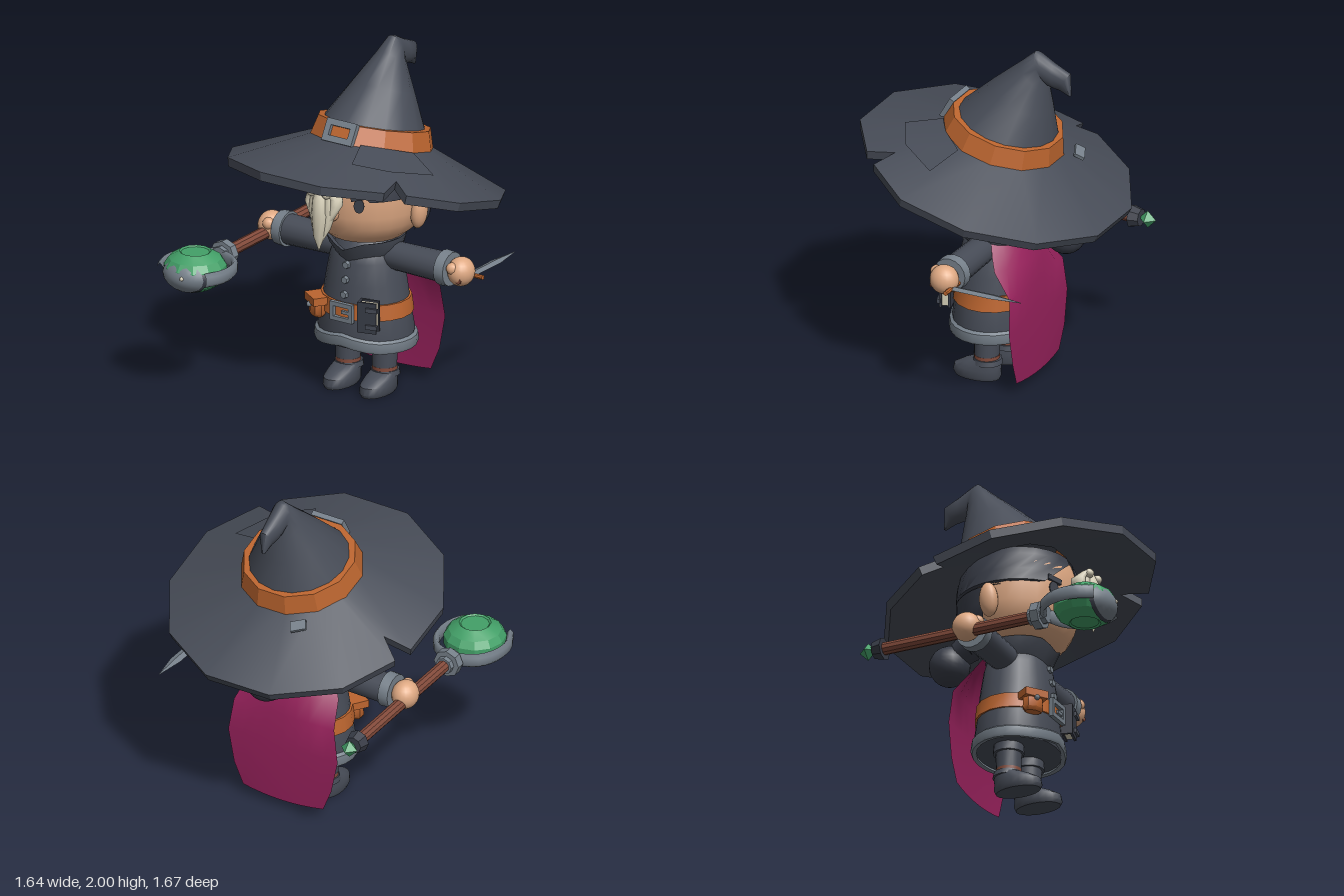
import * as THREE from 'three';
import { toCreasedNormals } from 'three/addons/utils/BufferGeometryUtils.js';

const mat = (name, color, side = THREE.FrontSide) =>
  Object.assign(new THREE.MeshStandardMaterial({ color, side }), { name });
const V = (x, y, z) => new THREE.Vector3(x, y, z);
const rad = THREE.MathUtils.degToRad;
const CX = 0.025, CZ = -0.09; // axis of the body

// Skin a list of point rings; closed rings may be capped at both ends
function loft(rings, { closed = true, caps = true, join = false, crease = 0.7 } = {}) {
  const n = rings[0].length, m = rings.length, pos = [], idx = [];
  rings.forEach(r => r.forEach(p => pos.push(p.x, p.y, p.z)));
  for (let i = 0; i < (join ? m : m - 1); i++)
    for (let j = 0; j < (closed ? n : n - 1); j++) {
      const k = (j + 1) % n, up = ((i + 1) % m) * n;
      idx.push(i * n + j, i * n + k, up + k, i * n + j, up + k, up + j);
    }
  if (closed && caps) [0, m - 1].forEach((i, end) => {
    const c = rings[i].reduce((s, p) => s.add(p), V(0, 0, 0)).divideScalar(n);
    const ci = pos.length / 3;
    pos.push(c.x, c.y, c.z);
    for (let j = 0; j < n; j++) {
      const a = i * n + j, b = i * n + (j + 1) % n;
      idx.push(ci, end ? a : b, end ? b : a);
    }
  });
  const g = new THREE.BufferGeometry();
  g.setAttribute('position', new THREE.Float32BufferAttribute(pos, 3));
  g.setIndex(idx);
  return toCreasedNormals(g, crease);
}

// Horizontal ellipses [y, rx, rz, x, z], listed from bottom to top
const ovals = (rows, n = 24) => rows.map(([y, rx, rz, x = 0, z = 0]) =>
  Array.from({ length: n }, (_, j) => {
    const t = j / n * Math.PI * 2;
    return V(x + rx * Math.sin(t), y, z + rz * Math.cos(t));
  }));

// Bend the front middle of a ring up or down
const peak = (rings, h, w) => {
  rings.flat().forEach(p => { if (p.z > 0) p.y += h * Math.max(0, 1 - Math.abs(p.x) / w); });
  return rings;
};

// Rectangular buckle frame
function frame(w, h, b, depth) {
  const rect = (S, x, y) => new S([[-x, -y], [x, -y], [x, y], [-x, y]].map(p => new THREE.Vector2(...p)));
  const s = rect(THREE.Shape, w / 2, h / 2);
  s.holes.push(rect(THREE.Path, w / 2 - b, h / 2 - b));
  return new THREE.ExtrudeGeometry(s, { depth, bevelEnabled: false });
}

export function createModel() {
  const cloth = mat('charcoalCloth', 0x474c57, THREE.DoubleSide);
  const hairM = mat('darkHair', 0x393d48, THREE.DoubleSide);
  const orange = mat('orangeLeather', 0xbc652f);
  const grey = mat('greyMetal', 0x76808a);
  const skin = mat('skin', 0xdfa983);
  const cream = mat('cream', 0xd6cfb8);
  const magenta = mat('magentaCape', 0x96215b, THREE.DoubleSide);
  const green = mat('greenCrystal', 0x43a068);
  const brown = mat('brownWood', 0x834b3b);

  const root = new THREE.Group();
  const group = (name, p = [0, 0, 0], parent = root) => {
    const g = new THREE.Group();
    g.name = name; g.position.set(...p); parent.add(g);
    return g;
  };
  const add = (parent, name, geo, m, p = [0, 0, 0], r = [0, 0, 0], s = [1, 1, 1]) => {
    const o = new THREE.Mesh(geo, m);
    o.name = name; o.position.set(...p); o.rotation.set(...r); o.scale.set(...s);
    parent.add(o);
  };
  const cyl = (a, b, h, n = 16) => toCreasedNormals(new THREE.CylinderGeometry(a, b, h, n), 0.6);
  const ball = (r, n = 20) => new THREE.SphereGeometry(r, n, Math.round(n * 0.7));
  const box = (x, y, z) => new THREE.BoxGeometry(x, y, z);
  const H = Math.PI / 2;

  // Robe, hem, belt and collar
  const body = group('body', [CX, 0, CZ]);
  add(body, 'robe', loft(ovals([[0.29, 0.28, 0.23], [0.36, 0.285, 0.24], [0.5, 0.26, 0.222],
    [0.65, 0.235, 0.21], [0.78, 0.21, 0.19], [0.86, 0.18, 0.17], [0.91, 0.13, 0.13]])), cloth);
  add(body, 'hemTrim', loft(peak(ovals([[0.278, 0.275, 0.225], [0.275, 0.3, 0.25], [0.29, 0.307, 0.257],
    [0.335, 0.302, 0.253], [0.35, 0.28, 0.235]]), 0.03, 0.2), { caps: false, join: true }), grey);
  add(body, 'belt', loft(ovals([[0.465, 0.255, 0.22], [0.465, 0.278, 0.238], [0.555, 0.265, 0.23],
    [0.555, 0.245, 0.21]], 18), { caps: false, join: true }), orange);
  add(body, 'collar', loft(peak(ovals([[0.81, 0.185, 0.165], [0.86, 0.215, 0.2], [0.92, 0.225, 0.235],
    [0.91, 0.2, 0.2], [0.83, 0.165, 0.15]]), -0.05, 0.12), { caps: false, join: true }), cloth);
  add(body, 'beltBuckle', frame(0.15, 0.11, 0.025, 0.025), grey, [0, 0.505, 0.228]);
  add(body, 'bucklePin', box(0.06, 0.018, 0.015), grey, [0.03, 0.505, 0.24]);
  [[0.77, 0.19], [0.685, 0.202], [0.6, 0.212]].forEach(([y, z]) =>
    add(body, 'button', cyl(0.02, 0.028, 0.035, 6), grey, [0, y, z], [H, 0, 0]));

  // Belt pouch and book
  const pouch = group('pouch', [-0.2, 0.49, 0.19], body);
  pouch.rotation.y = -0.6;
  add(pouch, 'pouchBag', loft(ovals([[-0.06, 0.05, 0.03], [-0.04, 0.065, 0.045], [0.03, 0.06, 0.04],
    [0.05, 0.05, 0.03]], 8)), orange);
  add(pouch, 'pouchFlap', box(0.14, 0.045, 0.1), orange, [0, 0.04, 0]);
  add(pouch, 'pouchStud', ball(0.016, 8), grey, [0, 0.01, 0.05]);
  const book = group('book', [0.17, 0.51, 0.225], body);
  book.rotation.y = 0.25;
  add(book, 'pages', box(0.095, 0.16, 0.04), cream);
  [-1, 1].forEach(s => add(book, 'bookCover', box(0.11, 0.18, 0.014), hairM, [0, 0, s * 0.026]));
  add(book, 'bookSpine', box(0.014, 0.18, 0.06), hairM, [-0.05, 0, 0]);
  [-0.05, 0.05].forEach(y => add(book, 'bookStrap', box(0.07, 0.025, 0.02), cloth, [0.03, y, 0.036]));

  // Legs, boots, sleeves and hands, mirrored
  [-1, 1].forEach(s => {
    const leg = group(s > 0 ? 'leftLeg' : 'rightLeg', [s * 0.123, 0, 0], body);
    add(leg, 'trouser', cyl(0.075, 0.07, 0.2), cloth, [0, 0.21, 0]);
    add(leg, 'kneeCuff', cyl(0.085, 0.088, 0.05), cloth, [0, 0.265, 0]);
    add(leg, 'ankleBand', cyl(0.072, 0.072, 0.03), brown, [0, 0.13, 0]);
    add(leg, 'bootCuff', cyl(0.08, 0.086, 0.03), cloth, [0, 0.11, -0.005]);
    add(leg, 'boot', loft(ovals([[0, 0.075, 0.135, 0, 0.06], [0.02, 0.085, 0.145, 0, 0.06],
      [0.06, 0.084, 0.14, 0, 0.057], [0.09, 0.08, 0.115, 0, 0.03], [0.12, 0.072, 0.075]], 20)), cloth);
    const arm = group(s > 0 ? 'leftArm' : 'rightArm', [0, 0.81, 0], body);
    add(arm, 'sleeve', cyl(0.088, 0.08, 0.42), cloth, [s * 0.335, 0, 0], [0, 0, -s * H]);
    add(arm, 'cuff', cyl(0.098, 0.102, 0.06), grey, [s * 0.55, 0, 0], [0, 0, -s * H]);
    add(arm, 'hand', ball(0.08), skin, [s * 0.64, 0, 0], [0, 0, 0], [0.95, 1.05, 1.05]);
    add(arm, 'thumb', ball(0.035, 10), skin, [s * 0.62, 0.03, 0.06]);
  });

  // Cape
  const cape = [[0.06, 0.26, -0.355], [0.2, 0.315, -0.36], [0.4, 0.355, -0.357], [0.6, 0.325, -0.345],
    [0.73, 0.285, -0.32], [0.8, 0.245, -0.285], [0.87, 0.19, -0.25]].map(([y, w, z], i) =>
    Array.from({ length: 9 }, (_, j) => {
      const u = 1 - j / 4, wrap = y > 0.7 ? 0.1 * u * u : 0.01 * u * u;
      return V(CX + u * w, y + (i ? 0 : 0.02 * u * u - 0.012), z + wrap);
    }));
  add(root, 'cape', loft(cape, { closed: false }), magenta);

  // Head
  const head = group('head', [CX, 0, CZ]);
  const skull = [[0.9, 0.14], [0.925, 0.22], [0.97, 0.275], [1.03, 0.31], [1.1, 0.33], [1.25, 0.335],
    [1.33, 0.325], [1.41, 0.3]];
  add(head, 'face', loft(ovals(skull.map(([y, r]) => [y, r, r])), { crease: 1 }), skin);
  const hair = [[0.94, 0.27, 112], [0.97, 0.295, 105], [1.03, 0.33, 100], [1.1, 0.345, 95], [1.19, 0.35, 88],
    [1.21, 0.35, 38], [1.28, 0.345, 25], [1.38, 0.325, 3], [1.43, 0.3, 0]].map(([y, r, a]) =>
    Array.from({ length: 25 }, (_, j) => {
      const t = rad(a + (360 - 2 * a) * j / 24);
      return V(r * Math.sin(t), y, r * Math.cos(t));
    }));
  add(head, 'hair', loft(hair, { closed: false, crease: 1 }), hairM);
  add(head, 'hairBun', ball(0.116), hairM, [0, 0.92, -0.43]);
  add(head, 'bunTie', cyl(0.075, 0.09, 0.08), hairM, [0, 1.0, -0.33], [-2.1, 0, 0]);
  add(head, 'nose', ball(0.045, 12), skin, [0, 1.12, 0.335], [0, 0, 0], [0.9, 1, 1]);
  [-1, 1].forEach(s => {
    add(head, 'ear', ball(0.1, 16), skin, [s * 0.35, 1.1, -0.01], [0, 0, -s * 0.12], [0.45, 1, 0.55]);
    add(head, 'eye', cyl(0.033, 0.033, 0.008), hairM, [s * 0.155, 1.185, 0.298], [H, 0, -s * 0.48], [0.9, 1, 1.25]);
    add(head, 'eyebrow', box(0.09, 0.03, 0.02), hairM, [s * 0.155, 1.237, 0.3], [0, s * 0.48, s * 0.2]);
  });

  // Beard locks, each tapering from a root to a point
  const beard = group('beard', [CX, 0, 0.34]);
  [[0, 0.945, 0.055], [-0.045, 0.99, 0.04], [0.045, 0.99, 0.04], [-0.08, 1.06, 0.035], [0.08, 1.06, 0.035]]
    .forEach(([x, low, w], i) => {
      const z = i ? -Math.abs(x) * 0.3 : 0.012, mid = (low + 1.27) / 2;
      add(beard, 'beardLock', loft(ovals([[low, 0.003, 0.003, x * 0.35, 0.035], [low + 0.08, w * 0.6, 0.028, x * 0.75, 0.025 + z],
        [mid + 0.05, w, 0.045, x * 1.05, 0.01 + z], [1.25, w * 0.85, 0.045, x, 0.005 + z],
        [1.295, w * 0.4, 0.02, x * 0.8, 0.02]], 10), { crease: 1 }), cream);
    });
  [-1, 1].forEach(s => add(beard, 'beardKnot', ball(0.027, 10), cream, [s * 0.05, 1.285, 0.035]));

  // Hat brim with two torn notches, tilted back
  const hat = group('hat', [0.03, 1.255, -0.085]);
  hat.rotation.x = -rad(15);
  const R = 0.797, rim = [[15, R], [41, 0.76], [48, 0.63], [50.6, 0.76], [75, R], [105, R], [135, R], [165, R],
    [195, R], [225, R], [250, 0.78], [254.2, 0.64], [258.6, 0.785], [285, R], [315, R], [345, R]];
  const coneY = r => 0.2 - (r - 0.33) * 0.428;
  const polar = (a, r, y) => V(r * Math.sin(rad(a)), y, r * Math.cos(rad(a)));
  add(hat, 'brim', loft([
    rim.map(([a]) => polar(a, 0.31, 0.15)), rim.map(([a, r]) => polar(a, r - 0.012, coneY(r) - 0.05)),
    rim.map(([a, r]) => polar(a, r, coneY(r))), rim.map(([a]) => polar(a, 0.31, 0.209))],
  { caps: false, join: true, crease: 0.45 }), cloth);
  add(hat, 'brimPatch', loft([[[23, 0.55], [45, 0.57], [73, 0.57]], [[23, 0.35], [45, 0.35], [73, 0.37]]]
    .map(row => row.map(([a, r]) => polar(a, r, coneY(r) + 0.013))), { closed: false }), cloth);
  add(hat, 'brimPin', box(0.09, 0.02, 0.06), grey, [-0.2, 0.185, -0.385], [-0.35, 0.5, 0]);

  // Hat band with buckle
  const twelve = rows => rows.map(([r, y]) => Array.from({ length: 12 }, (_, k) => polar(15 + 30 * k, r, y)));
  add(hat, 'hatBand', loft(twelve([[0.3, 0.18], [0.355, 0.18], [0.322, 0.3], [0.28, 0.3]]),
    { caps: false, join: true, crease: 0.3 }), orange);
  add(hat, 'hatBuckle', frame(0.2, 0.13, 0.036, 0.03), grey, [0, 0.245, 0.318], [-0.26, 0, 0]);

  // Pointed crown with a drooping tip: front [z, y], back [z, y], half width
  const crown = [[0.13, 1.6, -0.445, 1.43, 0.3], [-0.08, 1.785, -0.425, 1.64, 0.185],
    [-0.25, 1.925, -0.407, 1.79, 0.095], [-0.335, 2, -0.4, 1.83, 0.06], [-0.36, 1.995, -0.42, 1.805, 0.055],
    [-0.45, 1.945, -0.455, 1.797, 0.05], [-0.55, 1.9, -0.485, 1.792, 0.038], [-0.556, 1.77, -0.54, 1.768, 0.01]]
    .map(([fz, fy, bz, by, w]) => Array.from({ length: 16 }, (_, j) => {
      const t = j / 16 * Math.PI * 2, c = Math.cos(t);
      return V(0.03 + w * Math.sin(t), (fy + by) / 2 + (fy - by) / 2 * c, (fz + bz) / 2 + (fz - bz) / 2 * c);
    }));
  add(root, 'hatCrown', loft(crown, { crease: 0.9 }), cloth);

  // Staff with an orb held by a metal claw
  const staff = group('staff', [-0.62, 0.78, 0]);
  const along = [H, 0, 0];
  add(staff, 'staffRod', cyl(0.036, 0.036, 0.95, 10), brown, [0, 0, -0.14], along);
  add(staff, 'rearCollar', cyl(0.066, 0.05, 0.06, 8), hairM, [0, 0, -0.63], along);
  add(staff, 'rearCrystal', new THREE.OctahedronGeometry(0.052), green, [0, 0, -0.7]);
  [[0.33, 0.05, 0.04], [0.365, 0.08, 0.05], [0.4, 0.055, 0.04]].forEach(([z, r, h]) =>
    add(staff, 'frontCollar', cyl(r, r, h, 8), grey, [0, 0, z], along));
  const orb = [[0, -0.1], [0.08, -0.1], [0.09, -0.108], [0.15, -0.07], [0.176, -0.03], [0.176, 0.03],
    [0.15, 0.07], [0.09, 0.108], [0.08, 0.1], [0, 0.1]].map(p => new THREE.Vector2(...p));
  add(staff, 'orb', toCreasedNormals(new THREE.LatheGeometry(orb, 12), 0.3), green, [0, 0, 0.65]);
  const cap = (r, a) => new THREE.SphereGeometry(r, 16, 6, 0, Math.PI * 2, 0, a);
  add(staff, 'orbCapRim', cap(0.18, 0.98), hairM, [0, -0.01, 0.65], along, [1, 1, 0.66]);
  add(staff, 'orbCap', cap(0.184, 0.85), grey, [0, -0.01, 0.65], along, [1, 1, 0.66]);
  add(staff, 'orbCapStud', ball(0.012, 8), cream, [0.03, 0, 0.828]);
  [-1, 1].forEach(s => {
    const arc = [[0.03, 0.41], [0.13, 0.46], [0.19, 0.56], [0.195, 0.68], [0.15, 0.78]].map(([x, z]) => V(s * x, 0, z));
    const claw = new THREE.TubeGeometry(new THREE.CatmullRomCurve3(arc), 12, 0.02, 6);
    add(staff, 'orbClaw', claw, grey, [0, 0, 0], [0, 0, 0], [1, 2.1, 1]);
  });

  // Dagger lying flat in the left hand, pointing backwards
  const dagger = group('dagger', [0.69, 0.777, 0]);
  add(dagger, 'daggerGuard', cyl(0.014, 0.014, 0.16, 8), orange, [0, 0, -0.15], [0, 0, H]);
  add(dagger, 'daggerGrip', cyl(0.018, 0.018, 0.14, 8), brown, [0, 0, -0.09], along);
  const blade = [[0.028, 0.011, -0.15], [0.032, 0.011, -0.4], [0.002, 0.002, -0.58]].map(([w, h, z]) =>
    [V(0, h, z), V(w, 0, z), V(0, -h, z), V(-w, 0, z)]);
  add(dagger, 'daggerBlade', loft(blade, { crease: 0.2 }), grey);

  return root;
}
